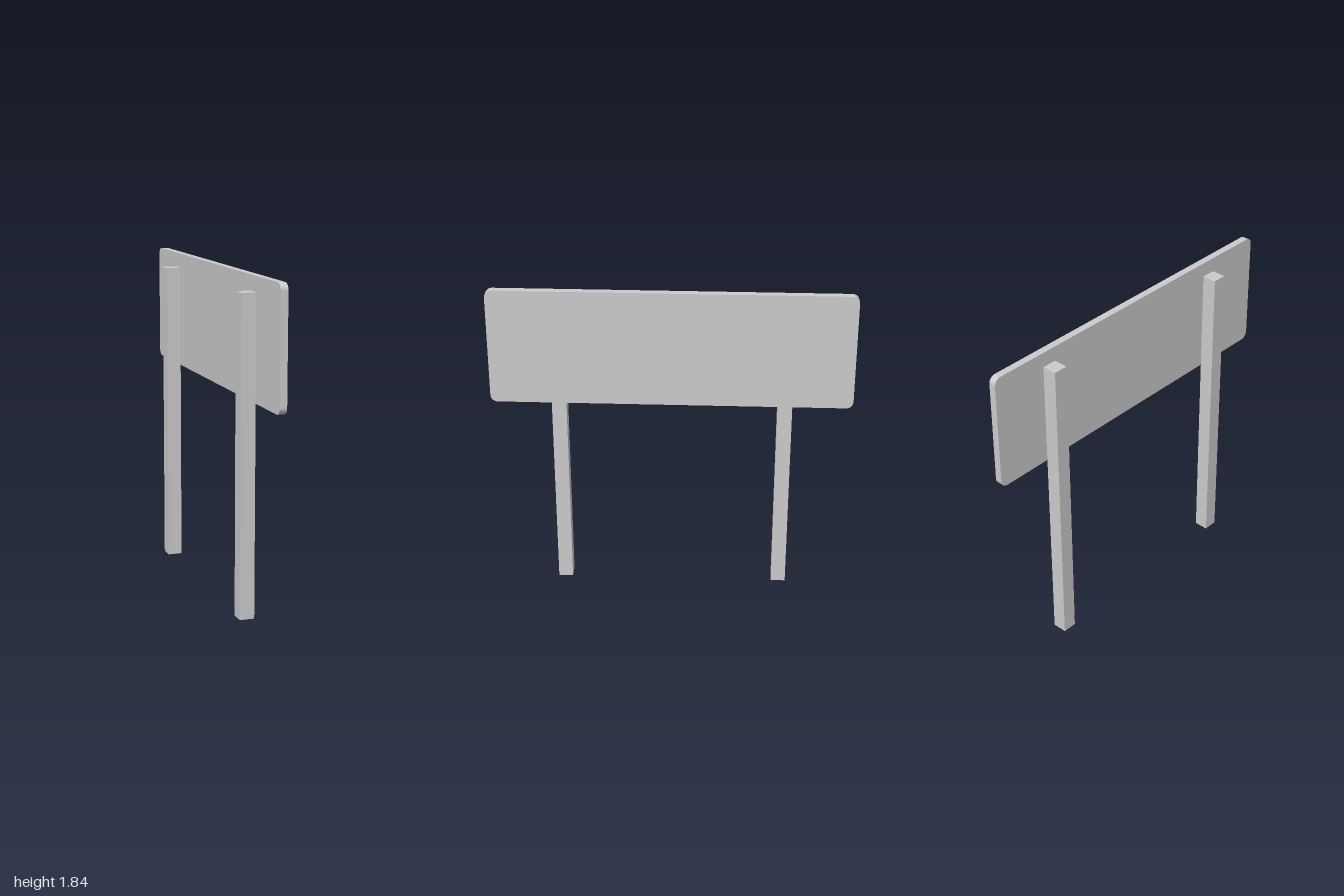
import * as THREE from 'three';

export function createModel() {
  const group = new THREE.Group();
  const material = new THREE.MeshStandardMaterial({ color: 0xcccccc, flatShading: true });

  // Sign board: rounded rectangle extruded through its thickness, facing +x
  const w = 1, bottom = 1.172, top = 1.835, r = 0.04;
  const outline = new THREE.Shape();
  outline.absarc(w - r, bottom + r, r, -Math.PI / 2, 0);
  outline.absarc(w - r, top - r, r, 0, Math.PI / 2);
  outline.absarc(-w + r, top - r, r, Math.PI / 2, Math.PI);
  outline.absarc(-w + r, bottom + r, r, Math.PI, Math.PI * 1.5);
  outline.closePath();
  const boardGeometry = new THREE.ExtrudeGeometry(outline, { depth: 0.04, bevelEnabled: false, curveSegments: 5 });
  boardGeometry.rotateY(Math.PI / 2);
  const board = new THREE.Mesh(boardGeometry, material);
  board.name = 'signBoard';
  board.position.x = 0.02;
  group.add(board);

  // Two square posts behind the board
  const postGeometry = new THREE.BoxGeometry(0.082, 1.752, 0.082);
  for (const [name, z] of [['frontPost', 0.625], ['backPost', -0.628]]) {
    const post = new THREE.Mesh(postGeometry, material);
    post.name = name;
    post.position.set(-0.021, 0.876, z);
    group.add(post);
  }

  return group;
}
